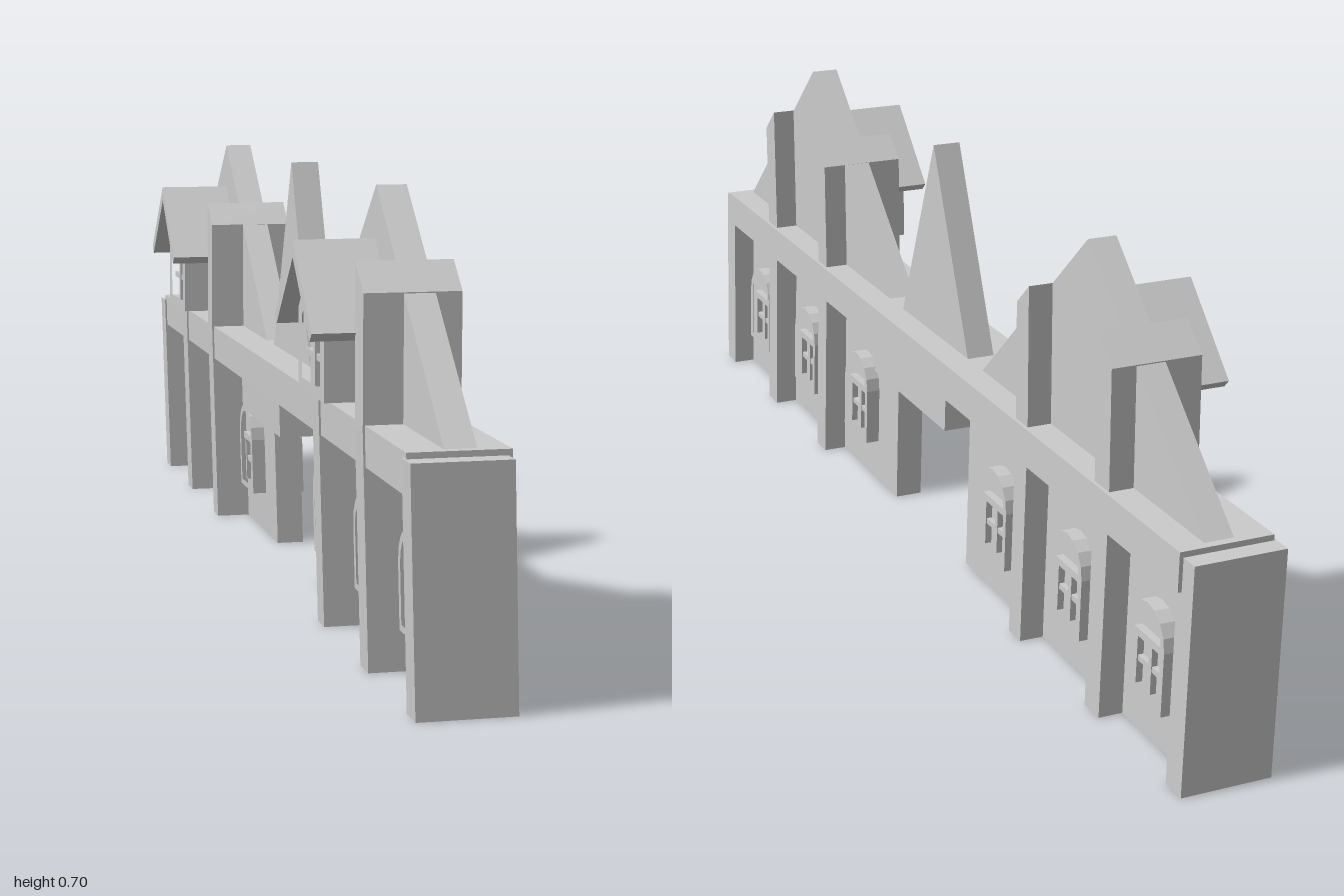
import * as THREE from 'three';

const material = new THREE.MeshStandardMaterial({ color: 0xcccccc, flatShading: true });
const SLAB = [0.013, 0.06]; // thin core of the wall and gables
const DEPTH = [-0.047, 0.1]; // full depth of posts and end piers
const WALL_TOP = 0.357;

// Everything below the wall top leans slightly outward toward +x at the foot.
function lean(geometry) {
  const p = geometry.attributes.position;
  for (let i = 0; i < p.count; i++) {
    p.setX(i, p.getX(i) + 0.01 * Math.max(0, 1 - p.getY(i) / WALL_TOP));
  }
  geometry.computeVertexNormals();
  return geometry;
}

function add(parent, name, geometry) {
  const mesh = new THREE.Mesh(lean(geometry), material);
  mesh.name = name;
  parent.add(mesh);
  return mesh;
}

function box(parent, name, [x0, x1], [y0, y1], [z0, z1]) {
  const g = new THREE.BoxGeometry(Math.abs(x1 - x0), y1 - y0, Math.abs(z1 - z0));
  g.translate((x0 + x1) / 2, (y0 + y1) / 2, (z0 + z1) / 2);
  return add(parent, name, g);
}

// Extrude a (z, y) outline along x.
function prism(parent, name, [x0, x1], points, hole) {
  const flip = (pts) => pts.map(([z, y]) => new THREE.Vector2(-z, y));
  const shape = new THREE.Shape(flip(points));
  if (hole) shape.holes.push(new THREE.Path(flip(hole)));
  const g = new THREE.ExtrudeGeometry(shape, { depth: Math.abs(x1 - x0), bevelEnabled: false });
  g.rotateY(Math.PI / 2).translate(Math.min(x0, x1), 0, 0);
  return add(parent, name, g);
}

// Round-headed outline centred on z.
function arch(z, half, bottom, spring, rise) {
  const pts = [[z - half, bottom], [z + half, bottom]];
  for (let i = 0; i <= 8; i++) {
    const a = (i / 8) * Math.PI;
    pts.push([z + half * Math.cos(a), spring + rise * Math.sin(a)]);
  }
  return pts;
}

function archedWindow(parent, face, side, z) {
  const g = new THREE.Group();
  g.name = 'archedWindow';
  const out = (a, b) => [face + side * a, face + side * b];
  prism(g, 'windowFrame', out(0, 0.024), arch(z, 0.056, 0.075, 0.175, 0.058), arch(z, 0.045, 0.085, 0.175, 0.046));
  prism(g, 'windowPane', out(0, 0.005), arch(z, 0.046, 0.084, 0.175, 0.047));
  box(g, 'transom', out(0, 0.018), [0.163, 0.175], [z - 0.046, z + 0.046]);
  box(g, 'mullion', out(0, 0.015), [0.085, 0.165], [z - 0.005, z + 0.005]);
  box(g, 'glazingBar', out(0, 0.014), [0.121, 0.13], [z - 0.046, z + 0.046]);
  for (const s of [-1, 1]) {
    box(g, 'sashSide', out(0, 0.016), [0.085, 0.165], [z + s * 0.046, z + s * 0.038]);
  }
  parent.add(g);
}

function dormer(parent, z) {
  const g = new THREE.Group();
  g.name = 'dormer';
  const w = 0.085;
  const body = [[z - w, 0.387], [z + w, 0.387], [z + w, 0.512], [z, 0.597], [z - w, 0.512]];
  const opening = [[z - 0.06, 0.405], [z + 0.06, 0.405], [z + 0.06, 0.5], [z, 0.56], [z - 0.06, 0.5]];
  prism(g, 'dormerFront', [-0.085, -0.065], body, opening);
  prism(g, 'dormerBody', [-0.066, 0.02], body);
  box(g, 'dormerMullion', [-0.08, -0.06], [0.4, 0.56], [z - 0.007, z + 0.007]);
  box(g, 'dormerTransom', [-0.082, -0.06], [0.488, 0.502], [z - 0.062, z + 0.062]);
  box(g, 'dormerBar', [-0.078, -0.06], [0.44, 0.45], [z - 0.062, z + 0.062]);
  // Steep roof with square-cut eaves
  prism(g, 'dormerRoof', [-0.113, 0.03], [
    [z, 0.62], [z - 0.125, 0.495], [z - 0.112, 0.482], [z, 0.594], [z + 0.112, 0.482], [z + 0.125, 0.495],
  ]);
  parent.add(g);
}

function wing(s) {
  const g = new THREE.Group();
  g.name = s > 0 ? 'frontWing' : 'backWing';
  const peakZ = 0.58;
  const slopeY = (z) => 0.7 - Math.abs(z - peakZ) * 0.883;

  box(g, 'wallPanel', SLAB, [0, 0.33], [s * 0.157, s * 0.97]);
  box(g, 'endPier', DEPTH, [0, WALL_TOP], [s * 0.955, s]);

  // Points go in as (z, y); mirrored outlines are re-wound by the shape itself
  prism(g, 'gable', SLAB, [[s * 0.19, 0.355], [s * 0.966, 0.355], [s * peakZ, 0.7]]);

  // Posts, cut off along the slope of the gable
  for (const [a, b] of [[0.42, 0.463], [0.695, 0.742]]) {
    box(g, 'lowerPost', DEPTH, [0, WALL_TOP], [s * a, s * b]);
    prism(g, 'upperPost', DEPTH, [
      [s * a, WALL_TOP], [s * b, WALL_TOP], [s * b, slopeY(b)], [s * a, slopeY(a)],
    ]);
  }

  for (const z of [0.305, 0.58, 0.845]) {
    archedWindow(g, SLAB[1], 1, s * z);
    archedWindow(g, SLAB[0], -1, s * z);
  }
  dormer(g, s > 0 ? 0.575 : -0.583);
  return g;
}

export function createModel() {
  const model = new THREE.Group();
  model.name = 'timberedWall';
  model.add(wing(1), wing(-1));

  // Long beam over both wings, deeper above the gateway
  box(model, 'topBeam', [-0.044, 0.106], [0.305, 0.366], [-0.968, 0.968]);
  box(model, 'gatewayLintel', [-0.044, 0.106], [0.25, 0.306], [-0.157, 0.157]);

  // Pointed gable above the gateway
  prism(model, 'gatewayGable', SLAB, [[-0.147, 0.355], [0.147, 0.355], [0, 0.7]]);
  return model;
}
